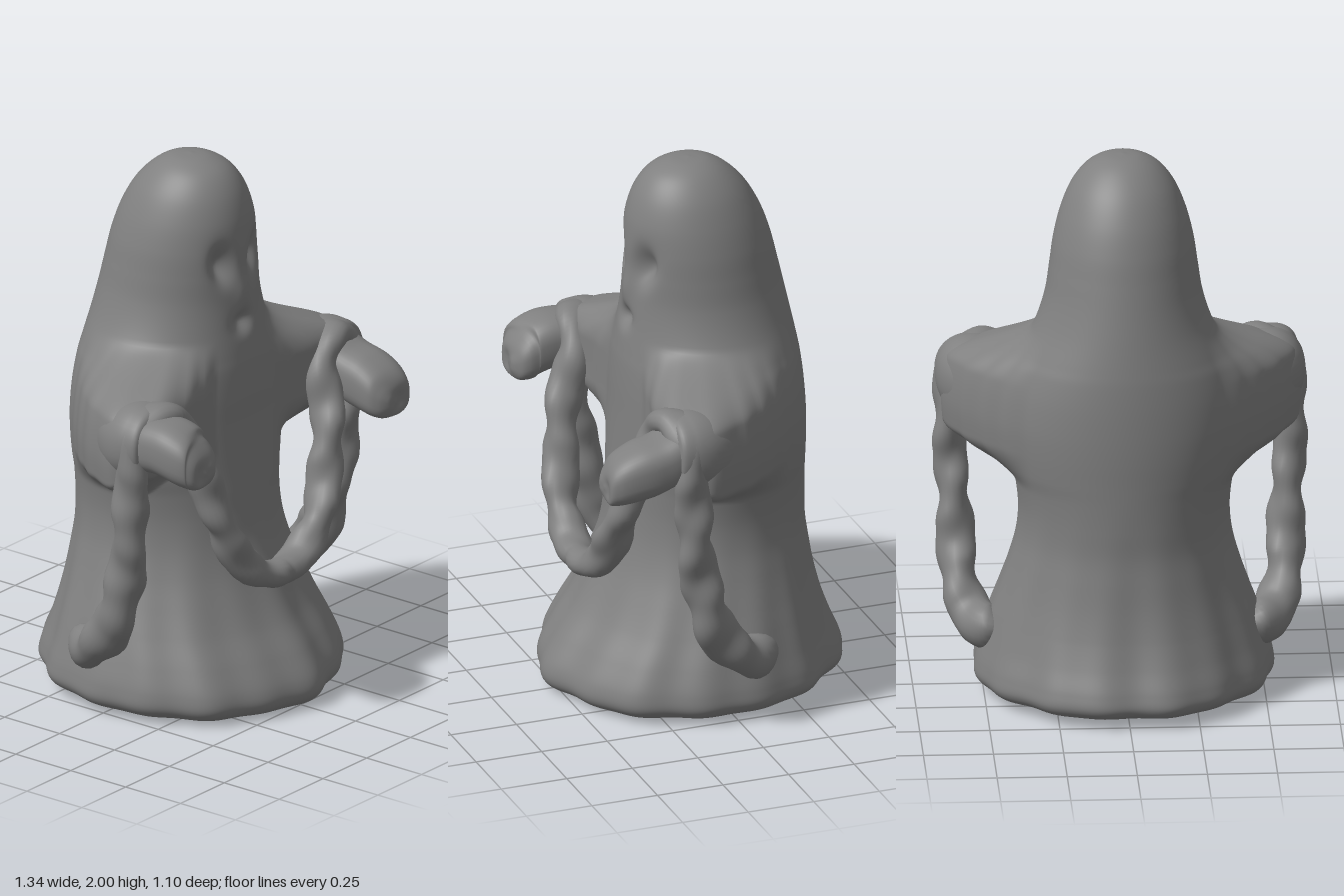
import * as THREE from 'three';
import { mergeVertices } from 'three/addons/utils/BufferGeometryUtils.js';

const V = (x, y, z) => new THREE.Vector3(x, y, z);
const spline = (pts) => new THREE.CatmullRomCurve3(pts, false, 'catmullrom', 0.5);
const { smoothstep, lerp } = THREE.MathUtils;

// Smooth skin over a grid of points, closed around each ring
function skin(rows, cols, point) {
  const pos = [], idx = [];
  for (let i = 0; i <= rows; i++) {
    for (let j = 0; j < cols; j++) {
      pos.push(...point(i / rows, (j / cols) * Math.PI * 2));
      if (i === rows) continue;
      const a = i * cols + j, b = i * cols + ((j + 1) % cols);
      idx.push(a, a + cols, b, b, a + cols, b + cols);
    }
  }
  let geo = new THREE.BufferGeometry();
  geo.setAttribute('position', new THREE.Float32BufferAttribute(pos, 3));
  geo.setIndex(idx);
  geo = mergeVertices(geo, 1e-4);
  geo.computeVertexNormals();
  return geo;
}

// Rounded limb: sections are [x, y, z, half width, half height]
function limb(sections, side, square) {
  const path = spline(sections.map((s) => V(s[0] * side, s[1], s[2])));
  const size = spline(sections.map((s) => V(s[3], s[4], 0)));
  const pw = (n) => Math.sign(n) * Math.abs(n) ** square;
  return skin(40, 40, (t, a) => {
    const c = path.getPoint(t), r = size.getPoint(t), d = path.getTangent(t);
    const l = Math.hypot(d.x, d.z) || 1;
    const w = pw(Math.cos(a)) * Math.max(r.x, 0), h = -pw(Math.sin(a)) * Math.max(r.y, 0);
    return [c.x + (d.z / l) * w, c.y + h, c.z - (d.x / l) * w];
  });
}

// Robe outline from crown to hem: [height, half width, front z, back z]
const OUTLINE = [
  [2, 0, 0, 0], [1.99, 0.07, 0.075, -0.075], [1.955, 0.132, 0.145, -0.14], [1.89, 0.185, 0.195, -0.205],
  [1.8, 0.224, 0.225, -0.258], [1.7, 0.25, 0.235, -0.295], [1.6, 0.265, 0.236, -0.32],
  [1.5, 0.281, 0.236, -0.343], [1.4, 0.312, 0.245, -0.365], [1.3, 0.36, 0.258, -0.385],
  [1.24, 0.39, 0.265, -0.395], [1.15, 0.415, 0.27, -0.405], [1.05, 0.425, 0.273, -0.412],
  [0.96, 0.42, 0.277, -0.415], [0.87, 0.406, 0.282, -0.415], [0.8, 0.387, 0.287, -0.415],
  [0.7, 0.377, 0.293, -0.415], [0.6, 0.385, 0.305, -0.416], [0.5, 0.41, 0.33, -0.428],
  [0.4, 0.443, 0.37, -0.444], [0.3, 0.478, 0.42, -0.468], [0.2, 0.508, 0.485, -0.5],
  [0.11, 0.53, 0.535, -0.535], [0.05, 0.53, 0.54, -0.545], [0.012, 0.49, 0.5, -0.51],
  [0, 0.4, 0.42, -0.42], [0, 0.2, 0.2, -0.2], [0, 0, 0, 0],
];

// How far the draped arm pushes the cloth out: [degrees from the front, distance]
const ARM = [[24, 0], [34, 0.05], [43, 0.14], [54, 0.27], [67, 0.265], [81, 0.165], [93, 0.09], [106, 0.035], [122, 0]];
function armReach(deg) {
  for (let i = 1; i < ARM.length; i++) {
    const [a, r] = ARM[i - 1], [b, s] = ARM[i];
    if (deg >= a && deg <= b) return lerp(r, s, smoothstep(deg, a, b) * 0.5 + ((deg - a) / (b - a)) * 0.5);
  }
  return 0;
}

// Face relief: [x, y, radius x, radius y, depth, tilt]
const FACE = [
  [-0.085, 1.64, 0.038, 0.064, 0.05, 0.15], [0.098, 1.635, 0.045, 0.07, 0.052, -0.2],
  [0, 1.41, 0.045, 0.036, 0.034, 0], [0, 1.52, 0.035, 0.06, -0.012, 0],
];

function robe() {
  const front = spline(OUTLINE.map(([y, w, f]) => V(w, y, f)));
  const back = spline(OUTLINE.map(([y, w, , b]) => V(w, y, b)));
  return skin(270, 168, (t, a) => {
    const p = front.getPoint(t), zb = back.getPoint(t).z;
    const mid = (p.z + zb) / 2, half = (p.z - zb) / 2;
    // Cloth folds deepen towards the hem
    const drop = 1 - smoothstep(p.y, 0.1, 0.85);
    const fold = 1 + drop * (0.02 * Math.cos(a) * Math.cos(8 * a) + 0.011 * Math.sin(15 * a + 0.8));
    let x = p.x * Math.sin(a) * fold;
    let z = half * Math.cos(a) * fold;
    // Arms raised under the cloth
    const deg = THREE.MathUtils.radToDeg(a > Math.PI ? Math.PI * 2 - a : a);
    const low = 0.8 + 0.09 * (1 - smoothstep(deg, 45, 72));
    const arm = armReach(deg) * smoothstep(p.y, low, low + 0.15) * (1 - smoothstep(p.y, 1.19, 1.37));
    const r = Math.hypot(x, z) || 1;
    x += (x / r) * arm;
    z += (z / r) * arm + mid;
    // Eyes, nose and mouth
    if (Math.cos(a) > 0) {
      for (const [fx, fy, rx, ry, depth, tilt] of FACE) {
        const dx = x - fx, dy = p.y - fy;
        const u = (dx * Math.cos(tilt) + dy * Math.sin(tilt)) / rx;
        const v = (dy * Math.cos(tilt) - dx * Math.sin(tilt)) / ry;
        z -= depth * Math.exp(-u * u - v * v);
      }
    }
    const lift = Math.max(0, 1 - p.y / 0.3) * 0.028 * (0.5 - z / 1.1);
    return [x, p.y + lift, z];
  });
}

// Twisted chain draped over both wrists, its ends sinking into the robe
function chain() {
  const half = [
    [0.2, 0.585, 0.4], [0.3, 0.77, 0.37], [0.36, 0.96, 0.335], [0.405, 1.13, 0.275],
    [0.5, 1.21, 0.245], [0.585, 1.16, 0.23], [0.61, 0.98, 0.215], [0.605, 0.78, 0.205],
    [0.59, 0.58, 0.17], [0.585, 0.41, 0.115], [0.555, 0.3, 0.03], [0.5, 0.245, -0.07], [0.4, 0.25, -0.13],
  ];
  const pts = [...half.map(([x, y, z]) => V(-x, y, z)).reverse(), V(0, 0.49, 0.405),
    ...half.map(([x, y, z]) => V(x, y, z))];
  const rows = 320, cols = 20;
  let geo = new THREE.TubeGeometry(new THREE.CatmullRomCurve3(pts), rows, 0.055, cols);
  const pos = geo.attributes.position, nor = geo.attributes.normal;
  for (let k = 0; k < pos.count; k++) {
    const t = Math.floor(k / (cols + 1)) / rows, a = ((k % (cols + 1)) / cols) * Math.PI * 2;
    const e = Math.abs(t - 0.5) * 2;
    const swell = 0.016 * smoothstep(e, 0.6, 0.9) - 0.06 * smoothstep(e, 0.96, 1);
    const lump = swell + 0.003 * Math.sin(e * 95) + 0.008 * Math.sin(2 * a + e * 48);
    // Links are deeper front to back than side to side
    pos.setXYZ(k, pos.getX(k) + nor.getX(k) * lump, pos.getY(k) + nor.getY(k) * lump,
      pos.getZ(k) + nor.getZ(k) * (lump + 0.008));
  }
  geo.deleteAttribute('uv');
  geo.deleteAttribute('normal');
  geo = mergeVertices(geo, 1e-4);
  geo.computeVertexNormals();
  return geo;
}

export function createModel() {
  const stone = new THREE.MeshStandardMaterial({ color: 0x808080 });
  stone.name = 'grey stone';
  const model = new THREE.Group();
  model.name = 'ghost';
  const add = (name, geo) => {
    const mesh = new THREE.Mesh(geo, stone);
    mesh.name = name;
    model.add(mesh);
  };

  add('robe', robe());
  add('chain', chain());

  for (const side of [1, -1]) {
    const label = side > 0 ? 'left' : 'right';
    // Rounded cuff where the cloth ends at the wrist
    add(label + 'Cuff', limb([
      [0.45, 1.09, 0.02, 0, 0], [0.47, 1.09, 0.06, 0.1, 0.11], [0.505, 1.1, 0.15, 0.14, 0.145],
      [0.515, 1.11, 0.22, 0.145, 0.14], [0.515, 1.11, 0.27, 0.125, 0.115], [0.515, 1.11, 0.3, 0, 0],
    ], side, 0.9));
    // Mitten hand drooping forward
    const drop = side > 0 ? -0.035 : 0.01, reach = side > 0 ? 0.02 : -0.015;
    add(label + 'Hand', limb([
      [0.52, 1.12, 0.2, 0, 0], [0.525, 1.115, 0.23, 0.1, 0.09], [0.53, 1.11 + drop, 0.33, 0.112, 0.1],
      [0.528, 1.09 + drop, 0.41, 0.11, 0.1], [0.52, 1.065 + drop, 0.46 + reach, 0.098, 0.085],
      [0.515, 1.045 + drop, 0.492 + reach, 0.07, 0.055], [0.515, 1.04 + drop, 0.5 + reach, 0, 0],
    ], side, 0.75));
  }
  return model;
}
